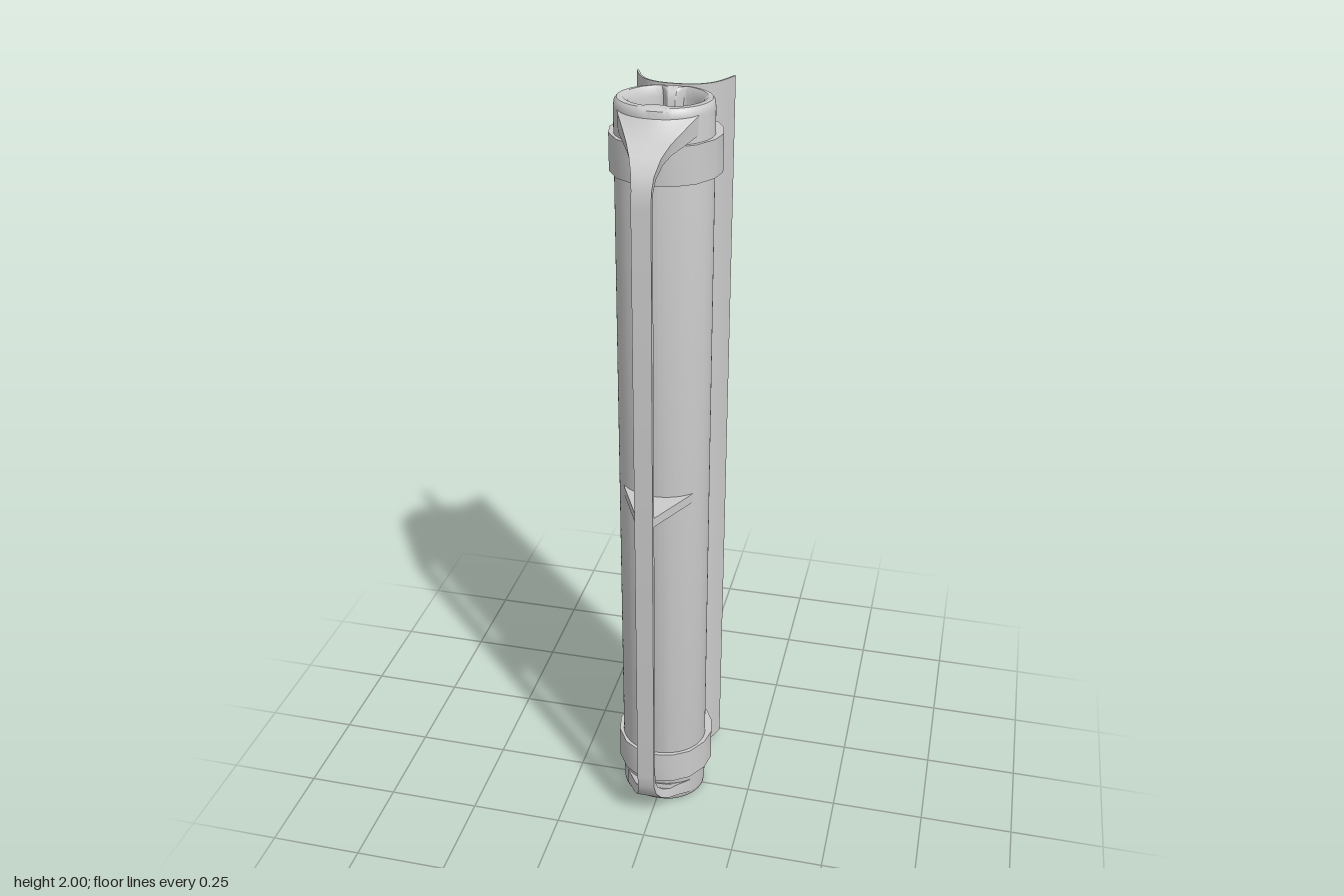
import * as THREE from 'three';
import { toCreasedNormals } from 'three/addons/utils/BufferGeometryUtils.js';

const V2 = (x, y) => new THREE.Vector2(x, y);

// Skin between rows of points; every row is a closed loop of equal length.
function loft(rows, closeRows = false) {
  const n = rows[0].length, index = [];
  const last = closeRows ? rows.length : rows.length - 1;
  for (let i = 0; i < last; i++) {
    const k = (i + 1) % rows.length;
    for (let j = 0; j < n; j++) {
      const m = (j + 1) % n;
      const a = i * n + j, b = i * n + m, c = k * n + j, d = k * n + m;
      index.push(a, b, c, b, d, c);
    }
  }
  const geo = new THREE.BufferGeometry();
  geo.setAttribute('position', new THREE.Float32BufferAttribute(rows.flat(2), 3));
  geo.setIndex(index);
  return toCreasedNormals(geo, 0.75);
}

// Plan outline (x, z) extruded from y0 up to y1.
function planExtrude(shape, y0, y1) {
  const geo = new THREE.ExtrudeGeometry(shape, { depth: y1 - y0, bevelEnabled: false, curveSegments: 32 });
  geo.rotateX(Math.PI / 2).translate(0, y1, 0);
  return toCreasedNormals(geo, 0.6);
}

// Tube wall: rounded rims, and a bore with two keyed ribs.
function tubeGeometry() {
  const N = 120;
  const outer = (a) => [0.117 * Math.sin(a), -0.002 + 0.107 * Math.cos(a)];
  const bore = (a) => {
    const off = Math.asin(Math.abs(Math.sin(a))) * 0.076; // distance from the x = 0 plane
    const rib = 1 - THREE.MathUtils.smoothstep(off, 0.012, 0.026);
    const r = 0.077 - 0.029 * rib;
    return [r * Math.sin(a), -0.02 + r * Math.cos(a)];
  };
  // [blend from bore to outside, height]
  const section = [[1, 0.02], [1, 1.98], [0.95, 1.994], [0.82, 2], [0.5, 2], [0.25, 1.992], [0.07, 1.975],
    [0, 1.94], [0, 0.06], [0.07, 0.025], [0.25, 0.008], [0.5, 0], [0.82, 0], [0.95, 0.006]];
  const rows = section.map(([t, y]) => Array.from({ length: N }, (_, j) => {
    const a = (j / N) * Math.PI * 2;
    const o = outer(a), b = bore(a);
    return [b[0] + (o[0] - b[0]) * t, y, b[1] + (o[1] - b[1]) * t];
  }));
  return loft(rows, true);
}

// Grip strip that flares at both ends and wraps onto the tube.
function handleGeometry() {
  // [outer z, outer y, inner z, inner y, half width, backward bow at the edges]
  const half = [
    [0.088, 1.996, 0.088, 1.95, 0.11, 0.083],
    [0.105, 1.978, 0.103, 1.935, 0.09, 0.032],
    [0.125, 1.957, 0.12, 1.922, 0.069, 0.012],
    [0.152, 1.938, 0.143, 1.912, 0.05, 0],
    [0.182, 1.915, 0.167, 1.896, 0.036, 0],
    [0.206, 1.882, 0.19, 1.87, 0.026, 0],
    [0.218, 1.85, 0.202, 1.845, 0.023, 0],
    [0.222, 1.81, 0.206, 1.81, 0.023, 0],
  ];
  const flip = ([oz, oy, iz, iy, w, b]) => [oz, 2 - oy, iz, 2 - iy, w, b];
  const stations = [...half, ...half.map(flip).reverse()];
  const S = 12;
  return loft(stations.map(([oz, oy, iz, iy, w, b]) => {
    const row = [];
    for (let k = 0; k <= S; k++) {
      const u = 1 - (2 * k) / S;
      row.push([w * u, oy, oz - b * u * u]);
    }
    for (let k = 0; k <= S; k++) {
      const u = (2 * k) / S - 1;
      row.push([w * u, iy, iz - b * u * u]);
    }
    return row;
  }));
}

// Clamp band: faceted outline around the tube.
function bandShape() {
  const right = [[0.1, -0.114], [0.124, -0.07], [0.134, -0.02], [0.124, 0.03], [0.092, 0.08], [0.05, 0.107]];
  const left = right.map(([x, z]) => [-x, z]).reverse();
  const shape = new THREE.Shape([...right, [0, 0.117], ...left].map((p) => V2(...p)));
  shape.holes.push(new THREE.Path().absellipse(0, -0.005, 0.1, 0.092, 0, Math.PI * 2, true));
  return shape;
}

// Thin curved rear plate, opening backwards.
function plateShape() {
  const right = [[0.045, -0.126], [0.078, -0.146], [0.1, -0.178], [0.118, -0.222]];
  const left = right.map(([x, z]) => [-x, z]).reverse();
  const curve = new THREE.SplineCurve([...left, [0, -0.12], ...right].map((p) => V2(...p)));
  const front = [], back = [];
  for (let i = 0; i <= 32; i++) {
    const p = curve.getPoint(i / 32), t = curve.getTangent(i / 32);
    const n = V2(-t.y, t.x).multiplyScalar(0.0025);
    front.push(p.clone().add(n));
    back.unshift(p.clone().sub(n));
  }
  return new THREE.Shape([...front, ...back]);
}

// Standoff rail, narrowing and shortening toward the plate.
function railGeometry() {
  const geo = new THREE.BoxGeometry(0.04, 1.63, 0.06);
  const p = geo.attributes.position;
  for (let i = 0; i < p.count; i++) {
    if (p.getZ(i) < 0) p.setXY(i, p.getX(i) * 0.3, p.getY(i) * 0.927);
  }
  return toCreasedNormals(geo, 0.4);
}

export function createModel() {
  const model = new THREE.Group();
  const material = new THREE.MeshStandardMaterial({ color: 0xcccccc });
  const add = (name, geometry, x = 0, y = 0, z = 0) => {
    const mesh = new THREE.Mesh(geometry, material);
    mesh.name = name;
    mesh.position.set(x, y, z);
    model.add(mesh);
  };

  add('tube', tubeGeometry());
  add('handle', handleGeometry());

  // Web joining the middle of the grip to the tube
  const web = new THREE.Shape([[0.113, 0.01], [0.085, 0.08], [0.022, 0.21], [-0.022, 0.21], [-0.085, 0.08],
    [-0.113, 0.01], [-0.08, 0.06], [0, 0.095], [0.08, 0.06]].map((p) => V2(...p)));
  add('handleBrace', planExtrude(web, 0.993, 1.018));

  add('upperBand', planExtrude(bandShape(), 1.83, 1.92));
  add('lowerBand', planExtrude(bandShape(), 0.085, 0.18));

  for (const [side, name] of [[1, 'leftRail'], [-1, 'rightRail']]) {
    add(name, railGeometry(), side * 0.074, 1.01, -0.113);
  }
  add('rearPlate', planExtrude(plateShape(), 0.02, 2));
  return model;
}
